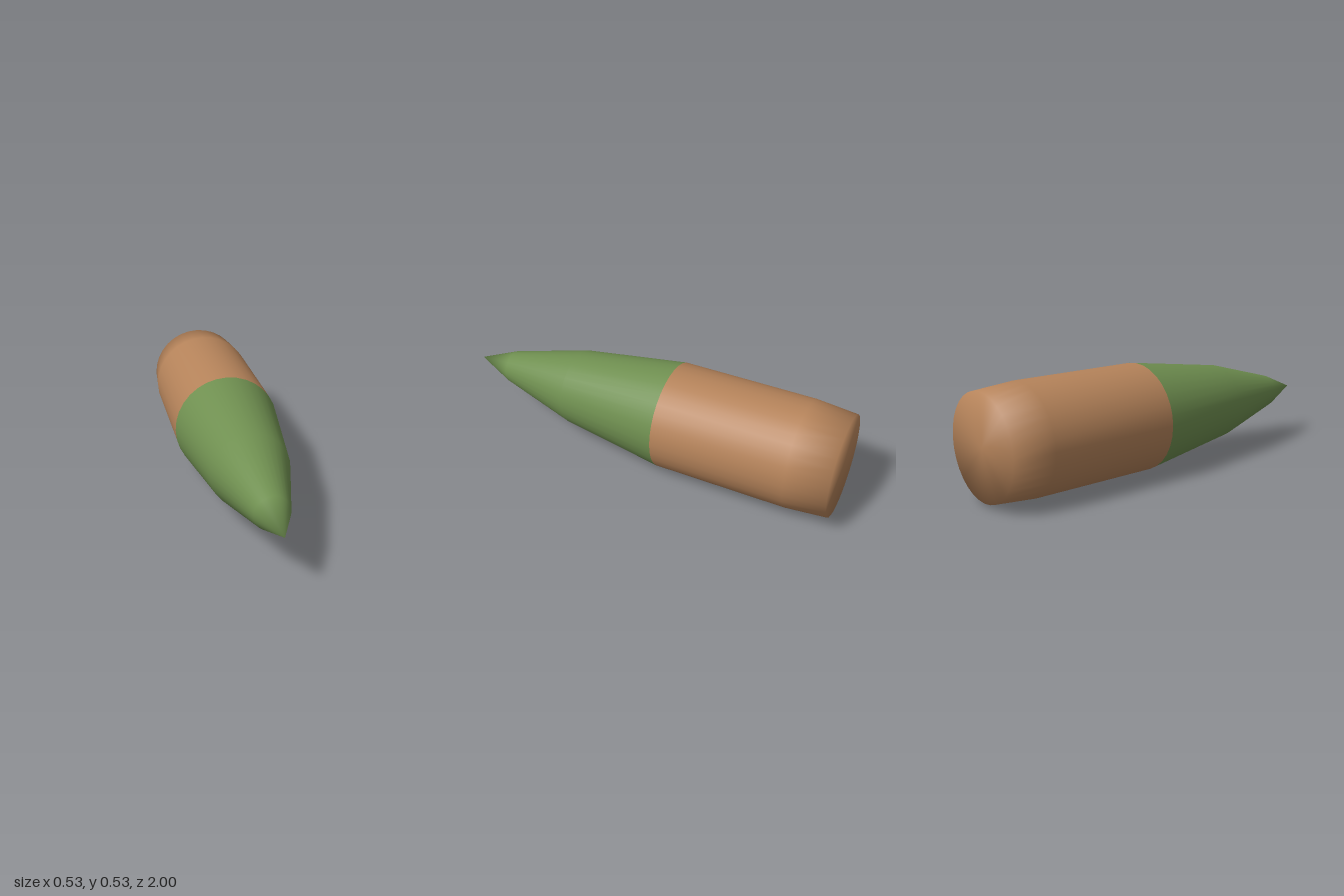
import * as THREE from 'three';
import { mergeVertices } from 'three/addons/utils/BufferGeometryUtils.js';

const RADIUS = 0.265;

// Round section along z; profile points are [radius, z] from back to front.
function roundSection(name, color, profile) {
  let geometry = new THREE.LatheGeometry(profile.map(([r, z]) => new THREE.Vector2(r, z)), 32);
  geometry.rotateX(Math.PI / 2);
  // Weld the seam and poles so shading runs smoothly over the rim and tip
  geometry.deleteAttribute('normal');
  geometry.deleteAttribute('uv');
  geometry = mergeVertices(geometry, 1e-5);
  geometry.computeVertexNormals();
  const mesh = new THREE.Mesh(geometry, new THREE.MeshStandardMaterial({ color }));
  mesh.name = name;
  mesh.position.y = RADIUS;
  return mesh;
}

export function createModel() {
  const group = new THREE.Group();
  group.name = 'bullet';
  group.add(
    // Closed, slightly tapered rear and straight body
    roundSection('body', 0xb5835a, [[0, -1], [0.248, -1], [RADIUS, -0.8], [RADIUS, -0.135]]),
    // Pointed nose
    roundSection('nose', 0x6f8f50, [[RADIUS, -0.135], [0.19, 0.4], [0.083, 0.8], [0, 1]])
  );
  return group;
}
